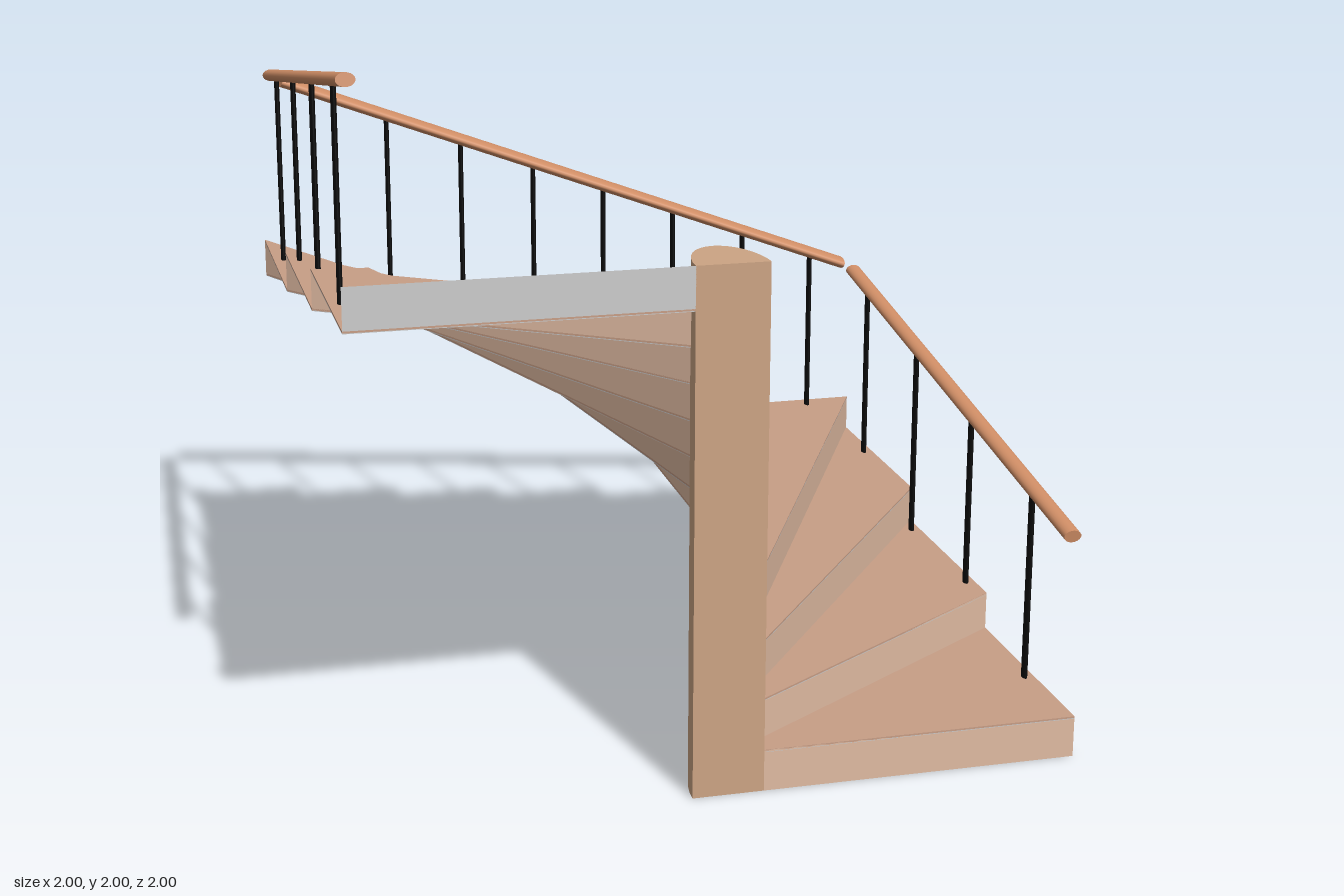
import * as THREE from 'three';
import { toCreasedNormals } from 'three/addons/utils/BufferGeometryUtils.js';

const RISE = 0.113, SLAB = 0.007;
const paint = (color, side = THREE.FrontSide) => new THREE.MeshStandardMaterial({ color, side });
const treadMat = paint(0xc89e86);
const riserMat = paint(0xe0bba2, THREE.DoubleSide);
const riserFrontMat = paint(0xe0bba2);
const greyMat = paint(0xcccccc);
const columnMat = paint(0xcca484);
const railMat = paint(0xd08e66);
const ironMat = paint(0x0c0c0c);

// Slab with a plan outline of [x, z] points, sitting on height y
function slab(points, y, height) {
  const shape = new THREE.Shape(points.map(([x, z]) => new THREE.Vector2(x, -z)));
  const geo = new THREE.ExtrudeGeometry(shape, { depth: height, bevelEnabled: false });
  return geo.rotateX(-Math.PI / 2).translate(0, y, 0);
}

// Point where the ray from the newel axis to an outer point meets the newel
function innerPoint([x, z]) {
  const s = 0.99 / Math.hypot(x / 0.1, (1 - z) / 0.2);
  return [x * s, 1 + (z - 1) * s];
}

export function createModel() {
  const model = new THREE.Group();
  const add = (name, geo, mat) => {
    const mesh = new THREE.Mesh(geo, mat);
    mesh.name = name;
    model.add(mesh);
    return mesh;
  };

  // Outer ends of the step lines: up the left side, across the back, down the right
  const outer = [];
  for (let i = 0; i < 3; i++) outer.push([1, 1 - i * 2 / 3]);
  for (let i = 0; i < 6; i++) outer.push([1 - i / 3, -1]);
  for (let i = 0; i <= 3; i++) outer.push([-1, -1 + i * 2 / 3]);
  const inner = outer.map(innerPoint);

  // Half-oval newel column with a flat front
  const oval = [];
  for (let i = 0; i <= 16; i++) {
    const a = Math.PI * i / 16;
    oval.push([0.1 * Math.cos(a), 1 - 0.2 * Math.sin(a)]);
  }
  add('newelColumn', toCreasedNormals(slab(oval, 0, 13 * RISE + SLAB), 0.6), columnMat);

  // Winder treads with a grey underside
  for (let k = 0; k < 12; k++) {
    const plan = [inner[k], outer[k], outer[k + 1], inner[k + 1]];
    const y = (k + 1) * RISE;
    add('tread', slab(plan, y + 0.002, SLAB - 0.002), treadMat);
    add('treadUnderside', slab(plan, y, 0.002), greyMat);
  }

  // Thin risers; the last one is grey behind
  outer.forEach(([ox, oz], k) => {
    const [ix, iz] = inner[k];
    const height = RISE + SLAB;
    const geo = new THREE.PlaneGeometry(Math.hypot(ox - ix, oz - iz), height);
    const angle = Math.atan2(iz - oz, ox - ix);
    const place = (mesh, turn) => {
      mesh.position.set((ox + ix) / 2, k * RISE + height / 2, (oz + iz) / 2);
      mesh.rotation.y = angle + turn;
    };
    place(add('riser', geo, k === 12 ? riserFrontMat : riserMat), 0);
    if (k === 12) place(add('riserBack', geo, greyMat), Math.PI);
  });

  // Oval handrails with four or eight balusters, one flight per side
  const rod = new THREE.CylinderGeometry(1, 1, 1, 20);
  const flights = [
    { from: [0.97, 0.652, 0.995], to: [0.97, 0.947, -0.88], posts: [0.71, 0.235, -0.245, -0.725], treads: [1, 2, 2, 3] },
    { from: [0.945, 0.96, -0.947], to: [-0.935, 1.662, -0.947],
      posts: [0.835, 0.595, 0.352, 0.113, -0.123, -0.362, -0.602, -0.84], treads: [4, 5, 5, 6, 7, 8, 8, 9] },
    { from: [-0.97, 1.69, -0.895], to: [-0.97, 1.983, 0.98], posts: [-0.713, -0.235, 0.247, 0.728], treads: [10, 11, 11, 12] },
  ];
  for (const { from, to, posts, treads } of flights) {
    const a = new THREE.Vector3(...from), b = new THREE.Vector3(...to);
    const across = from[0] !== to[0];
    const rail = add('handrail', rod, railMat);
    rail.position.copy(a).add(b).multiplyScalar(0.5);
    const length = a.distanceTo(b);
    if (across) {
      rail.scale.set(0.018, length, 0.05);
      rail.rotation.z = Math.atan2(a.x - b.x, b.y - a.y);
    } else {
      rail.scale.set(0.025, length, 0.018);
      rail.rotation.x = Math.atan2(b.z - a.z, b.y - a.y);
    }

    posts.forEach((p, i) => {
      const t = across ? (p - a.x) / (b.x - a.x) : (p - a.z) / (b.z - a.z);
      const top = a.clone().lerp(b, t);
      const foot = treads[i] * RISE + SLAB;
      const post = add('baluster', rod, ironMat);
      post.scale.set(0.0075, top.y - foot, 0.015);
      post.position.set(top.x, (top.y + foot) / 2, top.z);
    });
  }
  return model;
}
